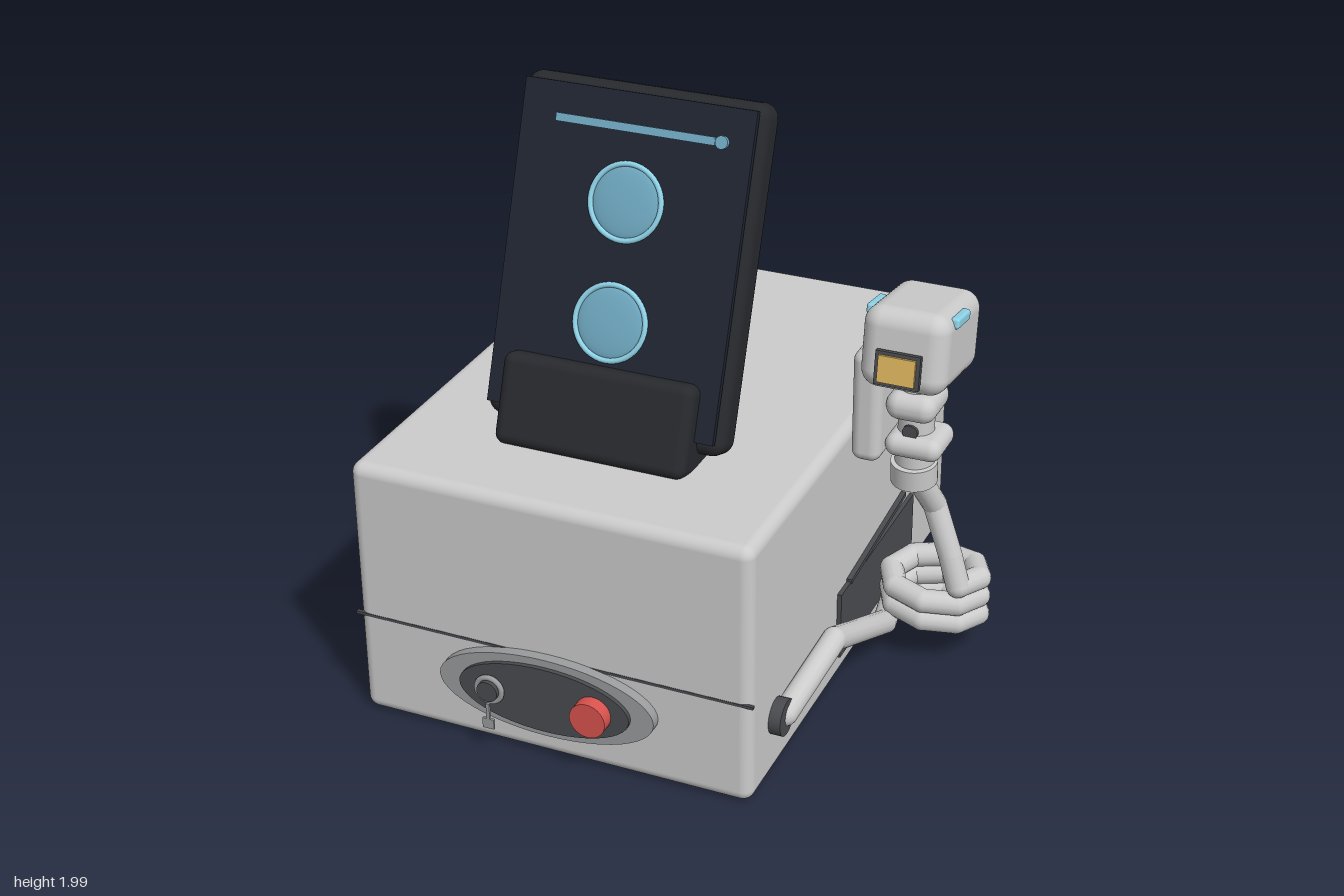
import * as THREE from 'three';
import { RoundedBoxGeometry } from 'three/addons/geometries/RoundedBoxGeometry.js';

const mat = (color) => new THREE.MeshStandardMaterial({ color });
const M = {
  grey: mat(0xcccccc), trim: mat(0x9a9c9e), dark: mat(0x4a4b4f), black: mat(0x28292d),
  screen: mat(0x202532), blue: mat(0x6fa8c0), glow: mat(0x8fd3e8), red: mat(0xd9534f), amber: mat(0xe0b860),
};

function add(parent, name, geometry, material, x = 0, y = 0, z = 0) {
  const mesh = new THREE.Mesh(geometry, material);
  mesh.name = name;
  mesh.position.set(x, y, z);
  parent.add(mesh);
  return mesh;
}
const box = (w, h, d) => new THREE.BoxGeometry(w, h, d);
const round = (w, h, d, r) => new RoundedBoxGeometry(w, h, d, 5, r);
const cyl = (r, h, n = 32) => new THREE.CylinderGeometry(r, r, h, n);
// Disc whose axis runs along z
const disc = (rx, ry, depth, n = 48) => cyl(1, depth, n).rotateX(Math.PI / 2).scale(rx, ry, 1);

function group(parent, name, x = 0, y = 0, z = 0) {
  const g = new THREE.Group();
  g.name = name;
  g.position.set(x, y, z);
  parent.add(g);
  return g;
}

// Jointed tube through a list of points
function jointedTube(parent, name, points, r) {
  const g = group(parent, name);
  points.forEach((p, i) => {
    add(g, 'joint', new THREE.SphereGeometry(r, 14, 10), M.grey, p.x, p.y, p.z);
    if (!i) return;
    const d = p.clone().sub(points[i - 1]);
    const link = add(g, 'link', new THREE.CylinderGeometry(r, r, d.length(), 14, 1, true), M.grey);
    link.position.copy(p).addScaledVector(d, -0.5);
    link.quaternion.setFromUnitVectors(new THREE.Vector3(0, 1, 0), d.normalize());
  });
}

const CX = -0.205; // centre line of the cabinet

function buildCabinet(root) {
  const g = group(root, 'cabinet');
  add(g, 'body', round(1.37, 0.92, 1.875, 0.04), M.grey, CX, 0.462, -0.033);
  add(g, 'frontSeam', box(1.385, 0.01, 0.012), M.dark, CX, 0.37, 0.9);

  // Side panels, each with a slanted slot bar
  for (const s of [-1, 1]) {
    add(g, 'sidePanel', box(0.03, 0.245, 0.725), M.dark, CX + s * 0.685, 0.218, -0.207);
    const bar = add(g, 'slotBar', box(0.03, 0.016, 0.545), M.dark, CX + s * 0.688, 0.367, -0.204);
    bar.rotation.x = 0.088;
  }

  // Oval control badge with a button and a key
  const b = group(g, 'controlBadge', CX, 0.243, 0);
  add(b, 'badgeRim', disc(0.375, 0.143, 0.04), M.trim, 0, 0, 0.92);
  add(b, 'badgeFace', disc(0.297, 0.117, 0.04), M.dark, 0, 0, 0.935);
  add(b, 'button', disc(0.061, 0.061, 0.05), M.red, 0.175, 0, 0.975);
  add(b, 'keyLock', disc(0.036, 0.036, 0.035), M.dark, -0.185, 0, 0.965);
  add(b, 'keyRing', new THREE.TorusGeometry(0.044, 0.009, 10, 32), M.trim, -0.185, 0, 0.965);
  add(b, 'keyStem', box(0.012, 0.07, 0.008), M.trim, -0.185, -0.08, 0.978);
  add(b, 'keyTag', box(0.04, 0.036, 0.008), M.trim, -0.185, -0.12, 0.978);
}

function buildBack(root) {
  const g = group(root, 'backFittings', CX, 0, -0.97);
  g.rotation.y = Math.PI; // local +z points out of the back
  for (const s of [-1, 1]) {
    const fan = group(g, 'fan', s * 0.29, 0.54, 0);
    add(fan, 'fanWell', disc(0.17, 0.17, 0.006), M.trim, 0, 0, 0.001);
    add(fan, 'fanRing', new THREE.TorusGeometry(0.167, 0.014, 8, 40), M.dark, 0, 0, 0.004);
    add(fan, 'fanHub', disc(0.038, 0.038, 0.03, 24), M.dark, 0, 0, 0.004);
    for (let i = 0; i < 6; i++) {
      const arm = group(fan, 'spoke');
      arm.rotation.z = (i * Math.PI) / 3;
      add(arm, 'spokeBar', box(0.016, 0.14, 0.012), M.dark, 0, 0.095, 0.007);
      const blade = add(arm, 'blade', box(0.06, 0.12, 0.006), M.dark, 0.045, 0.095, 0.002);
      blade.rotation.set(0, 0.1, -0.3);
    }
  }
  add(g, 'socketPanel', box(0.97, 0.18, 0.03), M.dark, 0, 0.19, 0);
  for (const x of [-0.285, -0.155]) add(g, 'knob', disc(0.032, 0.032, 0.03, 24), M.dark, x, 0.19, 0.015);
  add(g, 'rocker', box(0.06, 0.075, 0.03), M.dark, 0.15, 0.19, 0.015);
  add(g, 'powerSocket', box(0.12, 0.08, 0.03), M.dark, 0.335, 0.19, 0.015);
}

function buildTablet(root) {
  const g = group(root, 'tablet', CX, 1.464, 0.25);
  g.rotation.x = -0.349;
  add(g, 'slab', round(0.827, 1.11, 0.145, 0.05), M.black);
  add(g, 'screen', box(0.785, 1.04, 0.02), M.screen, 0, 0.01, 0.087);
  add(g, 'cradle', round(0.66, 0.3, 0.3, 0.035), M.black, 0, -0.48, 0.011);
  // Two round eyes with bright rims
  for (const y of [-0.19, 0.19]) {
    add(g, 'eye', new THREE.SphereGeometry(0.113, 32, 16).scale(1, 1, 0.12), M.blue, 0, y, 0.1);
    add(g, 'eyeRim', new THREE.TorusGeometry(0.12, 0.009, 10, 48), M.glow, 0, y, 0.102);
  }
  // Slider line
  add(g, 'sliderBar', box(0.54, 0.026, 0.015), M.blue, 0, 0.42, 0.1);
  add(g, 'sliderKnob', disc(0.021, 0.021, 0.025, 24), M.blue, 0.293, 0.42, 0.1);
}

function buildArm(root) {
  const g = group(root, 'cameraArm');
  const V = (x, y, z) => new THREE.Vector3(x, y, z);
  add(g, 'shoulder', cyl(0.061, 0.05).rotateZ(Math.PI / 2), M.dark, 0.495, 0.214, 0.7);

  // Arm reaches back, coils up, then rises to the neck
  const path = [V(0.505, 0.214, 0.68), V(0.55, 0.315, 0.37), V(0.575, 0.13, -0.06)];
  const steps = 21;
  for (let i = 0; i <= steps; i++) {
    const t = (i / 8) * Math.PI * 2;
    path.push(V(0.705 - 0.155 * Math.cos(t), 0.125 + (0.185 * i) / steps, -0.19 - 0.132 * Math.sin(t)));
  }
  path.push(V(0.78, 0.42, -0.105), V(0.715, 0.59, -0.12), V(0.668, 0.75, -0.03));
  jointedTube(g, 'armTube', path, 0.041);

  // Neck of stacked collars
  const neck = group(g, 'neck', 0.67, 0, -0.025);
  add(neck, 'cuff', cyl(0.077, 0.075), M.grey, 0, 0.765, 0.005).rotation.x = 0.1;
  add(neck, 'lowerNeck', cyl(0.066, 0.1), M.grey, 0, 0.83, 0);
  add(neck, 'lowerCollar', round(0.19, 0.078, 0.19, 0.038), M.grey, 0.012, 0.878, 0);
  add(neck, 'upperNeck', cyl(0.06, 0.24), M.grey, 0, 1.0, 0);
  add(neck, 'pivot', cyl(0.026, 0.135, 20).rotateX(Math.PI / 2), M.dark, 0, 0.93, 0);
  add(neck, 'upperCollar', round(0.168, 0.095, 0.2, 0.045), M.grey, 0, 1.02, 0);
  add(g, 'backPlate', round(0.1, 0.39, 0.26, 0.035), M.grey, 0.536, 1.015, -0.03);

  // Camera head
  const head = group(g, 'cameraHead', 0.668, 1.235, -0.04);
  head.rotation.x = -0.14;
  add(head, 'headShell', round(0.285, 0.27, 0.39, 0.06), M.grey);
  add(head, 'lensMount', box(0.08, 0.06, 0.03), M.grey, 0, -0.045, 0.2);
  add(head, 'lensFrame', box(0.148, 0.112, 0.018), M.dark, 0, -0.045, 0.216);
  add(head, 'lens', box(0.122, 0.088, 0.022), M.amber, 0, -0.045, 0.224);
  for (const s of [-1, 1]) add(head, 'sideLight', round(0.03, 0.036, 0.125, 0.01), M.glow, s * 0.138, 0.1, 0.05);
}

export function createModel() {
  const root = new THREE.Group();
  root.name = 'robotCabinet';
  buildCabinet(root);
  buildBack(root);
  buildTablet(root);
  buildArm(root);
  return root;
}
